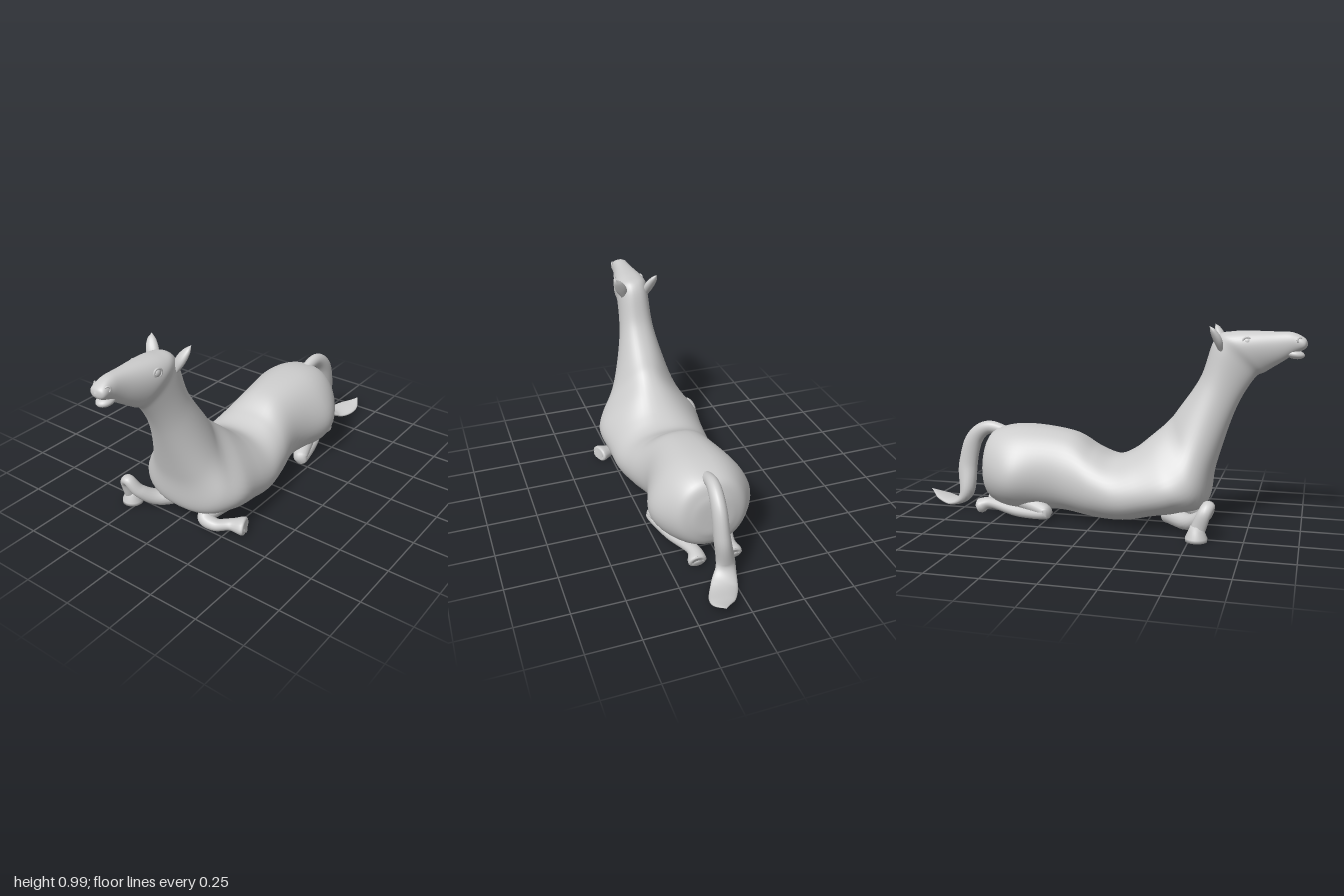
import * as THREE from 'three';

const material = new THREE.MeshStandardMaterial({ color: 0xcccccc, side: THREE.DoubleSide });
const V = (x, y, z) => new THREE.Vector3(x, y, z);
const curveOf = pts => new THREE.CatmullRomCurve3(pts, false, 'catmullrom');
const smoothstep = THREE.MathUtils.smoothstep;
const MID = 0.03; // the body's centre line

// Skin a list of closed rings with smooth normals
function skin(rings) {
  const n = rings[0].length, index = [];
  for (let j = 0; j < rings.length - 1; j++) {
    for (let i = 0; i < n; i++) {
      const a = j * n + i, b = j * n + (i + 1) % n;
      index.push(a, b, a + n, b, b + n, a + n);
    }
  }
  const g = new THREE.BufferGeometry().setFromPoints(rings.flat());
  g.setIndex(index);
  g.computeVertexNormals();
  return g;
}

// Soft muscle swelling around a point on the flank
const swell = (p, y, z, ry, rz) => Math.exp(-(((p.y - y) / ry) ** 2) - ((p.z - z) / rz) ** 2);

// Rings spanned between top and bottom points: [topZ, topY, bottomZ, bottomY, halfWidth, pear]
function loftSections(sections, steps, sides) {
  const top = curveOf(sections.map(s => V(0, s[1], s[0])));
  const bottom = curveOf(sections.map(s => V(0, s[3], s[2])));
  const shape = curveOf(sections.map(s => V(s[4], s[5], 0)));
  const rings = [];
  for (let j = 0; j <= steps; j++) {
    const t = j / steps, s = shape.getPoint(t);
    const a = top.getPoint(t), b = bottom.getPoint(t);
    const mid = a.clone().add(b).multiplyScalar(0.5), half = a.sub(b).multiplyScalar(0.5);
    // The muzzle is turned slightly to the right
    const centre = MID - 0.015 * smoothstep(mid.z, 0.65, 0.95);
    rings.push(Array.from({ length: sides }, (_, i) => {
      const ang = i / sides * Math.PI * 2, c = Math.cos(ang), sn = Math.sin(ang);
      const p = mid.clone().addScaledVector(half, sn);
      // Shoulders and haunches swell out of the trunk
      const muscle = 1 + 0.13 * swell(p, 0.22, 0.43, 0.14, 0.13) + 0.16 * swell(p, 0.19, -0.43, 0.17, 0.14);
      p.x = centre + Math.sign(c) * Math.abs(c) ** 0.84 * s.x * (1 - s.y * sn) * muscle;
      p.y = Math.max(p.y, 0.01);
      return p;
    }));
  }
  return skin(rings);
}

// Oval limb along [x, y, z, radius] points; flat(t) is thickness over width
function limb(points, side, flat, steps = 40, sides = 16) {
  const path = curveOf(points.map(p => V(p[0], p[1], p[2])));
  const radii = curveOf(points.map(p => V(p[3], 0, 0)));
  const rings = [];
  for (let j = 0; j <= steps; j++) {
    const t = j / steps, c = path.getPoint(t), tan = path.getTangent(t);
    const r = Math.max(radii.getPoint(t).x, 0.001);
    const u = side.clone().addScaledVector(tan, -side.dot(tan)).normalize();
    const v = tan.clone().cross(u);
    rings.push(Array.from({ length: sides }, (_, i) => {
      const a = i / sides * Math.PI * 2;
      const p = c.clone().addScaledVector(u, Math.cos(a) * r).addScaledVector(v, Math.sin(a) * r * flat(t));
      p.y = Math.max(p.y, 0.004);
      return p;
    }));
  }
  return skin(rings);
}

export function createModel() {
  const model = new THREE.Group();
  const add = (name, geometry, x = 0, y = 0, z = 0) => {
    const mesh = new THREE.Mesh(geometry, material);
    mesh.name = name;
    mesh.position.set(x, y, z);
    model.add(mesh);
    return mesh;
  };
  const ball = (name, x, y, z, rx, ry, rz, tilt = 0) => {
    const mesh = add(name, new THREE.SphereGeometry(1, 32, 24), x, y, z);
    mesh.scale.set(rx, ry, rz);
    mesh.rotation.x = tilt;
  };

  // Trunk, neck and head as one continuous skin, rump to nose
  add('bodyNeckAndHead', loftSections([
    [-0.615, 0.28, -0.615, 0.22, 0, 0],
    [-0.605, 0.36, -0.61, 0.14, 0.105, 0],
    [-0.56, 0.435, -0.565, 0.065, 0.175, 0],
    [-0.4, 0.466, -0.42, 0.025, 0.22, 0.04],
    [-0.15, 0.438, -0.2, 0.035, 0.197, 0.08],
    [-0.02, 0.365, 0, 0.012, 0.232, 0.08],
    [0.08, 0.33, 0.15, 0.014, 0.255, 0.12],
    [0.17, 0.365, 0.29, 0.045, 0.255, 0.22],
    [0.265, 0.442, 0.43, 0.072, 0.238, 0.34],
    [0.345, 0.515, 0.545, 0.115, 0.2, 0.4],
    [0.395, 0.58, 0.582, 0.3, 0.152, 0.26],
    [0.5, 0.74, 0.67, 0.58, 0.094, 0],
    [0.565, 0.925, 0.755, 0.735, 0.079, -0.15],
    [0.655, 0.962, 0.81, 0.772, 0.081, -0.25],
    [0.85, 0.964, 0.895, 0.828, 0.052, -0.08],
    [0.93, 0.961, 0.945, 0.862, 0.043, 0],
    [0.985, 0.935, 0.985, 0.882, 0.038, 0],
    [1, 0.91, 1, 0.9, 0, 0]
  ], 160, 48));
  ball('lowerLip', 0.014, 0.858, 0.942, 0.038, 0.022, 0.046, 0.15);

  for (const s of [-1, 1]) {
    const side = s > 0 ? 'left' : 'right';
    const mx = d => MID + s * d;

    // Face
    ball(side + 'Eye', mx(0.07), 0.917, 0.722, 0.012, 0.018, 0.018);
    add(side + 'Eyelid', new THREE.TorusGeometry(0.02, 0.005, 8, 24), mx(0.073), 0.917, 0.722)
      .rotation.y = s * 1.37;
    add(side + 'Nostril', new THREE.TorusGeometry(0.012, 0.004, 8, 20), 0.016 + s * 0.036, 0.926, 0.962)
      .rotation.y = s * 0.95;
    add(side + 'Ear', limb([
      [mx(0.055), 0.87, 0.6, 0.018],
      [mx(0.078), 0.922, 0.586, 0.03],
      [mx(0.1), 0.965, 0.566, 0.021],
      [mx(0.111), 0.99, 0.55, 0]
    ], V(1, 0, 0.4 * s), () => 0.65, 24));

    // Folded hind leg: stifle, shank turned back under the belly, hoof
    add(side + 'HindLeg', limb([
      [mx(0.1), 0.1, -0.42, 0.06],
      [mx(0.18), 0.05, -0.24, 0.036],
      [mx(0.14), 0.036, -0.4, 0.034],
      [mx(0.09), 0.055, -0.57, 0.032],
      [mx(0.09), 0.034, -0.635, 0.044],
      [mx(0.09), 0.032, -0.642, 0]
    ], V(1, 0, 0), () => 0.85, 60));
  }

  // Right foreleg: bent up beside the chest, hoof set on the ground
  add('rightForeleg', limb([
    [-0.05, 0.06, 0.36, 0.045],
    [-0.15, 0.055, 0.48, 0.042],
    [-0.21, 0.11, 0.56, 0.034],
    [-0.255, 0.168, 0.585, 0.031],
    [-0.288, 0.14, 0.57, 0.032],
    [-0.288, 0.07, 0.545, 0.036]
  ], V(0, 0, 1), t => 1 - 0.3 * t, 50));
  const hoofProfile = [[0, 0.08], [0.028, 0.078], [0.038, 0.055], [0.052, 0.022], [0.052, 0.006], [0, 0.004]];
  add('rightForeHoof', new THREE.LatheGeometry(
    hoofProfile.map(p => new THREE.Vector2(...p)).reverse(), 28), -0.286, 0, 0.535);

  // Left foreleg: folded flat, foot turned outward
  add('leftForeleg', limb([
    [0.17, 0.11, 0.36, 0.055],
    [0.125, 0.05, 0.46, 0.044],
    [0.19, 0.034, 0.475, 0.034],
    [0.25, 0.034, 0.43, 0.034],
    [0.315, 0.038, 0.405, 0.054],
    [0.318, 0.038, 0.404, 0]
  ], V(0.3, 0, 1).normalize(), t => 1 - 0.35 * t, 50));

  // Tail: arched, hanging to the ground, then spreading flat to a tip
  add('tail', limb([
    [0.04, 0.41, -0.5, 0.026],
    [0.045, 0.436, -0.62, 0.031],
    [0.05, 0.37, -0.705, 0.035],
    [0.045, 0.23, -0.742, 0.038],
    [0.025, 0.08, -0.745, 0.046],
    [0.06, 0.022, -0.82, 0.062],
    [0.11, 0.03, -0.92, 0.056],
    [0.125, 0.062, -1, 0]
  ], V(1, 0, 0), t => 1.1 + 0.25 * smoothstep(t, 0.1, 0.35) - 1.1 * smoothstep(t, 0.42, 0.72), 70, 20));

  return model;
}
